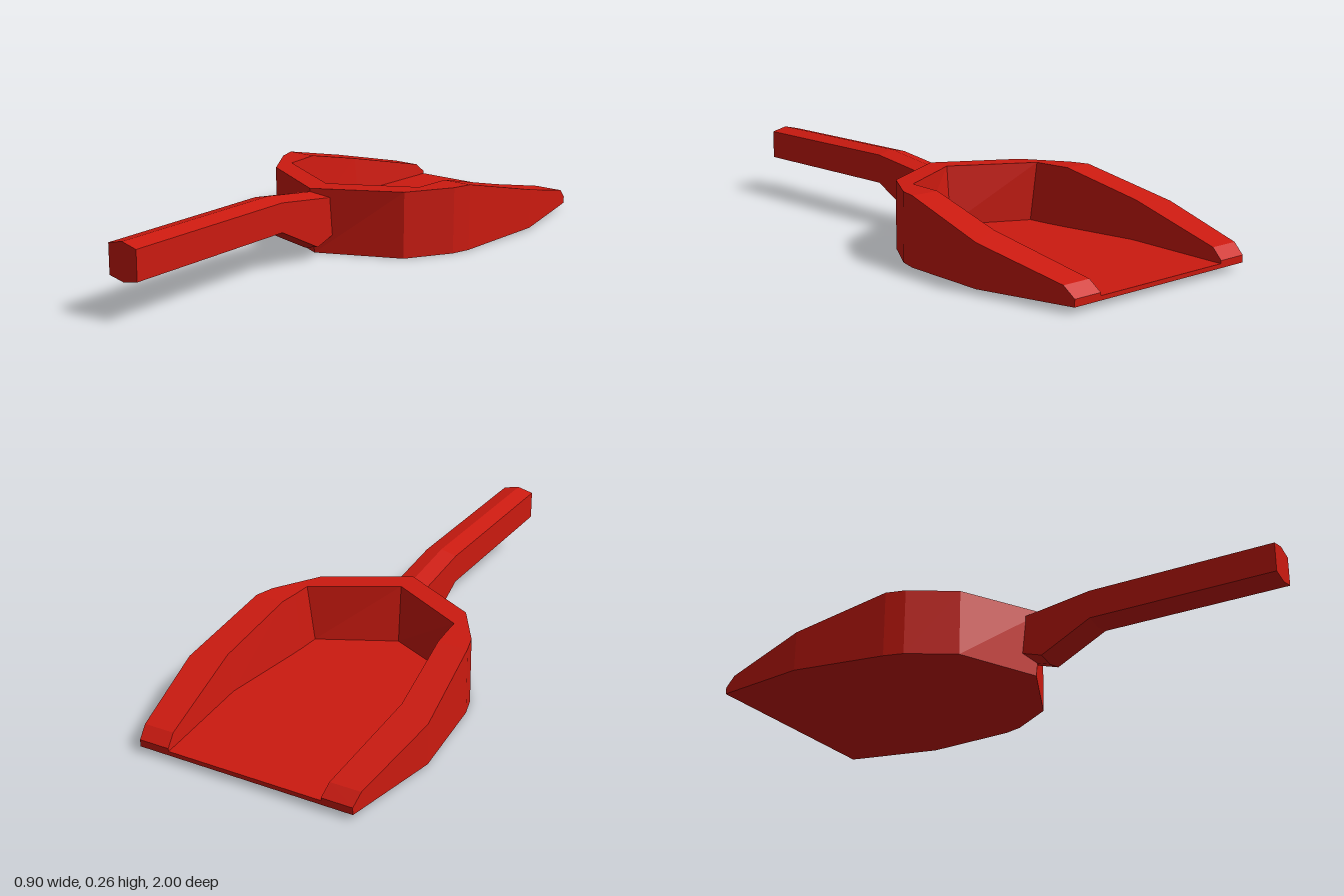
import * as THREE from 'three';

// Skins closed rings of [x, y, z] points that run towards -z, each ring
// counterclockwise as seen from +z. Caps are lists of ring index quads.
function loft(rings, startCap, endCap) {
  const pos = [];
  const tri = (a, b, c) => {
    const [A, B, C] = [a, b, c].map(p => new THREE.Vector3(...p));
    if (B.clone().sub(A).cross(C.clone().sub(A)).length() > 1e-8) pos.push(...a, ...b, ...c);
  };
  const quad = (a, b, c, d) => { tri(a, b, c); tri(a, c, d); };
  for (let i = 0; i < rings.length - 1; i++) {
    const r = rings[i], s = rings[i + 1], n = r.length;
    for (let k = 0; k < n; k++) {
      const m = (k + 1) % n;
      quad(r[k], s[k], s[m], r[m]);
    }
  }
  startCap.forEach(q => quad(...q.map(k => rings[0][k])));
  endCap.forEach(q => quad(...q.map(k => rings[rings.length - 1][k]).reverse()));
  const geo = new THREE.BufferGeometry();
  geo.setAttribute('position', new THREE.Float32BufferAttribute(pos, 3));
  geo.computeVertexNormals();
  return geo;
}

// Linear interpolation through [z, y] pairs listed from high z to low z
function heightAt(z, pts) {
  for (let i = 0; i < pts.length - 1; i++) {
    const [z0, y0] = pts[i], [z1, y1] = pts[i + 1];
    if (z >= z1) return THREE.MathUtils.lerp(y0, y1, Math.max(0, (z - z0) / (z1 - z0)));
  }
  return pts[pts.length - 1][1];
}

export function createModel() {
  const group = new THREE.Group();
  group.name = 'dustpan';
  const red = new THREE.MeshStandardMaterial({ color: 0xcc1a10, flatShading: true });

  // Pan: floor and rim wall; heights depend only on depth
  const rim = z => heightAt(z, [[0.1, 0.24], [-0.29, 0.24], [-0.96, 0.08], [-1, 0.045]]);
  const floor = z => heightAt(z, [[0.1, 0.03], [-0.29, 0.03], [-1, 0.035]]);
  const base = z => heightAt(z, [[0.1, 0], [-0.29, 0], [-1, 0.02]]);

  // Stations: outer x, outer z, inner x, inner z, inset of the wall foot
  const stations = [
    [0, 0.1, 0, 0.01, 0],
    [0.29, -0.06, 0.29, -0.15, 0.02],
    [0.39, -0.22, 0.295, -0.22, 0.02],
    [0.41, -0.29, 0.302, -0.29, 0.02],
    [0.45, -0.64, 0.33, -0.59, 0.015],
    [0.397, -0.96, 0.287, -0.96, 0.005],
    [0.39, -1, 0.28, -1, 0],
  ];
  const panRings = stations.map(([ox, oz, ix, iz, inset], i) => {
    const footZ = i === 0 ? 0.075 : oz;
    const innerFootZ = i === 0 ? -0.01 : i === 1 ? iz + 0.01 : iz;
    const half = [
      [ox, base(footZ), footZ],
      [ox, rim(oz), oz],
      [ix, rim(iz), iz],
      [ix - inset, floor(iz), innerFootZ],
    ];
    return [...half, ...half.map(([x, y, z]) => [-x, y, z]).reverse()];
  });
  const pan = new THREE.Mesh(
    loft(panRings, [], [[0, 1, 2, 3], [4, 5, 6, 7], [0, 3, 4, 7]]), red);
  pan.name = 'pan';
  group.add(pan);

  // Handle: six-sided bar that bends down into the pan's pointed end
  const w = 0.06;
  const handleRings = [
    [1, 0.258, 0.128],
    [0.32, 0.258, 0.128],
    [0.13, 0.232, 0.032],
    [0.04, 0.22, 0.06],
  ].map(([z, top, bottom]) => [
    [0, top, z], [-w, top - 0.014, z], [-w, bottom + 0.012, z],
    [0, bottom, z], [w, bottom + 0.012, z], [w, top - 0.014, z],
  ]);
  const caps = [[0, 1, 2, 3], [0, 3, 4, 5]];
  const handle = new THREE.Mesh(loft(handleRings, caps, caps), red);
  handle.name = 'handle';
  group.add(handle);

  return group;
}
